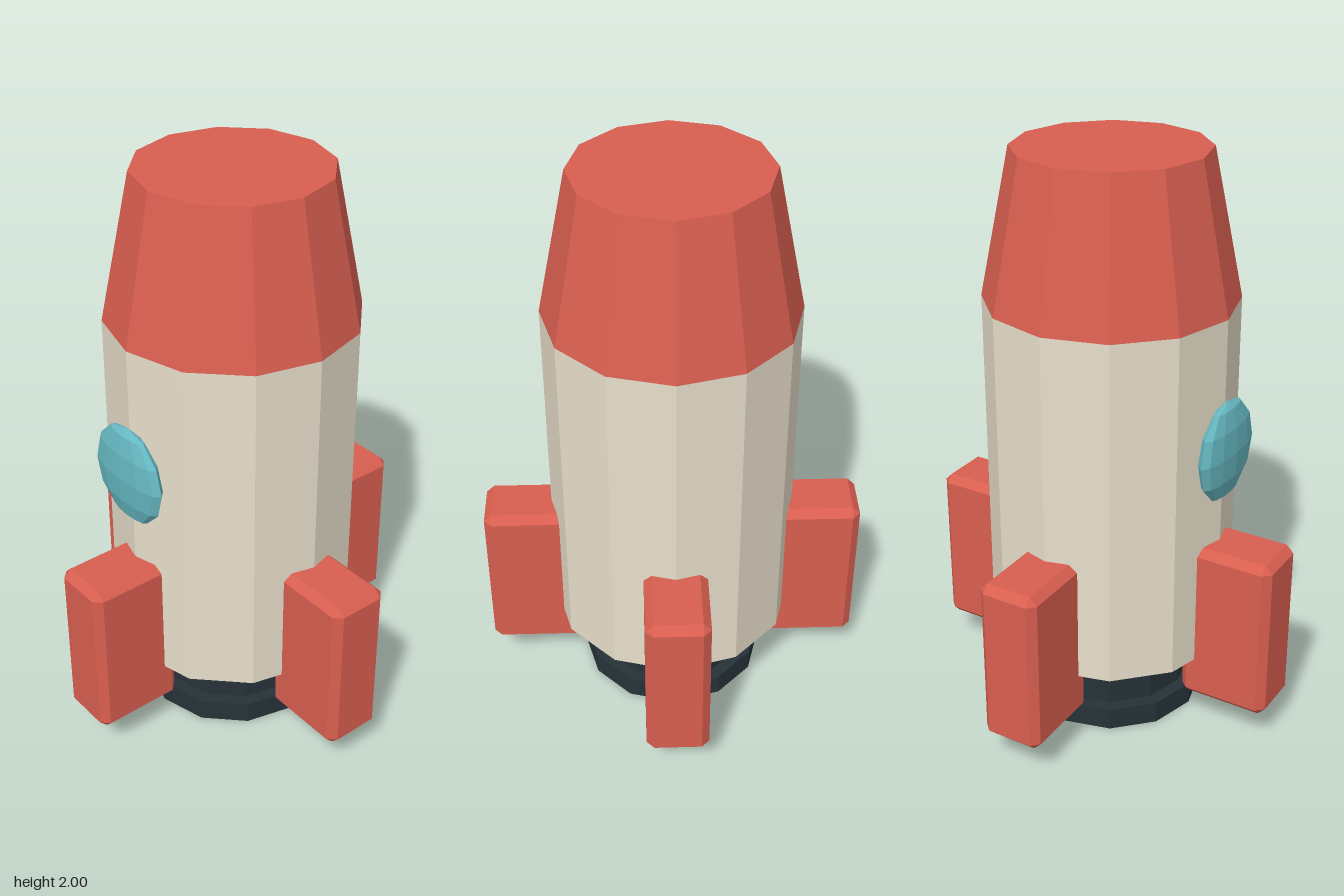
import * as THREE from 'three';
import { ConvexGeometry } from 'three/addons/geometries/ConvexGeometry.js';

const paint = (color) => new THREE.MeshStandardMaterial({ color, flatShading: true });
const red = paint(0xd95f50);
const cream = paint(0xe8dfcb);
const dark = paint(0x263238);
const glass = paint(0x66b8c2);

function part(name, geometry, material, x = 0, y = 0, z = 0) {
  const mesh = new THREE.Mesh(geometry, material);
  mesh.name = name;
  mesh.position.set(x, y, z);
  return mesh;
}

// Twelve-sided drum between two heights
function drum(name, rTop, rBottom, y0, y1, material) {
  return part(name, new THREE.CylinderGeometry(rTop, rBottom, y1 - y0, 12), material, 0, (y0 + y1) / 2, 0);
}

// Box with all twelve edges chamfered
function chamferedBox(w, h, d, c) {
  const points = [];
  for (const sx of [-1, 1]) for (const sy of [-1, 1]) for (const sz of [-1, 1]) {
    for (let axis = 0; axis < 3; axis++) {
      const inset = [c, c, c];
      inset[axis] = 0;
      points.push(new THREE.Vector3(
        sx * (w / 2 - inset[0]), sy * (h / 2 - inset[1]), sz * (d / 2 - inset[2])));
    }
  }
  return new ConvexGeometry(points);
}

export function createModel() {
  const rocket = new THREE.Group();
  rocket.name = 'rocket';

  // Engine, hull and blunt nose
  rocket.add(
    drum('nozzleRim', 0.325, 0.325, 0, 0.08, dark),
    drum('nozzle', 0.28, 0.28, 0.08, 0.28, dark),
    drum('hull', 0.427, 0.427, 0.275, 1.5, cream),
    drum('nose', 0.325, 0.427, 1.5, 2, red),
  );

  // Flattened round window on the front
  const porthole = part('window', new THREE.SphereGeometry(0.175, 12, 6), glass, 0, 1.05, 0.435);
  porthole.scale.z = 0.25;
  rocket.add(porthole);

  // Four fins around the base
  const finGeometry = chamferedBox(0.216, 0.59, 0.322, 0.027);
  for (let i = 0; i < 4; i++) {
    const angle = (i * Math.PI) / 2;
    const fin = part('fin' + (i + 1), finGeometry, red, Math.sin(angle) * 0.501, 0.415, Math.cos(angle) * 0.501);
    fin.rotation.y = angle;
    rocket.add(fin);
  }
  return rocket;
}
